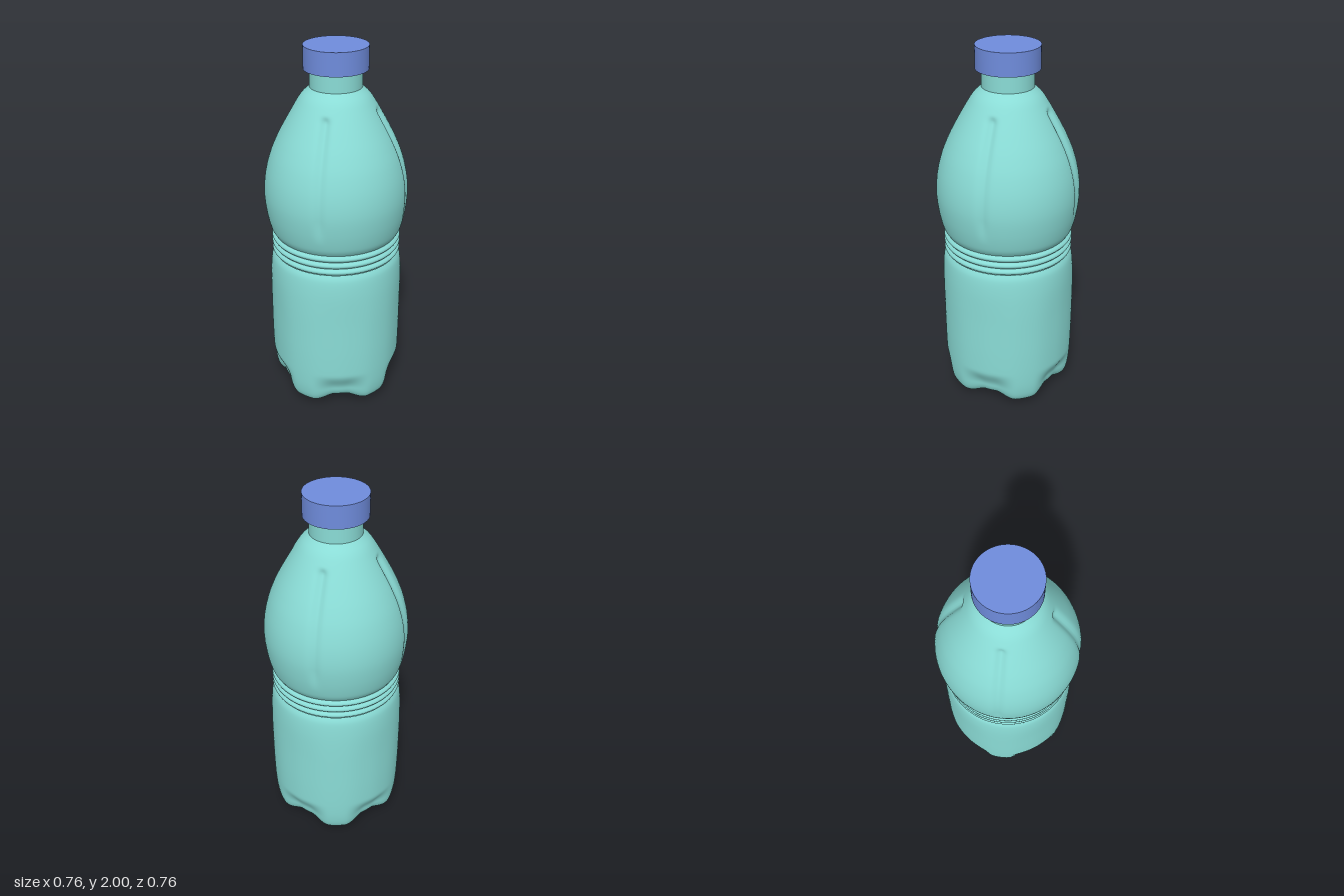
import * as THREE from 'three';
import { mergeVertices, toCreasedNormals } from 'three/addons/utils/BufferGeometryUtils.js';

const SEGMENTS = 160;
const plastic = new THREE.MeshStandardMaterial({ color: 0x8adcd6, side: THREE.DoubleSide });
const capBlue = new THREE.MeshStandardMaterial({ color: 0x6f8cdc, side: THREE.DoubleSide });

const vec = ([r, y]) => new THREE.Vector2(r, y);
const smooth = (points, n) => new THREE.SplineCurve(points.map(vec)).getPoints(n)
  .map((p) => new THREE.Vector2(Math.max(p.x, 0), p.y));
const step = THREE.MathUtils.smoothstep;

// Signed angle to the nearest of n evenly spaced directions, starting at +x
function nearestAngle(angle, n) {
  const pitch = (Math.PI * 2) / n;
  return angle - Math.round(angle / pitch) * pitch;
}

// Revolved wall whose vertices are reshaped by rule(angle, r, y) -> [r, y]
function wall(name, profile, rule) {
  let geo = new THREE.LatheGeometry(profile, SEGMENTS);
  const pos = geo.attributes.position;
  for (let i = 0; rule && i < pos.count; i++) {
    const x = pos.getX(i), z = pos.getZ(i);
    const angle = Math.atan2(z, x);
    const [r, y] = rule(angle, Math.hypot(x, z), pos.getY(i));
    pos.setXYZ(i, r * Math.cos(angle), y, r * Math.sin(angle));
  }
  geo.deleteAttribute('uv');
  geo.deleteAttribute('normal');
  geo = mergeVertices(geo, 1e-5);
  geo.computeVertexNormals();
  const mesh = new THREE.Mesh(geo, plastic);
  mesh.name = name;
  return mesh;
}

// Five scooped dents between the feet, fading into faint panels higher up
function footDents(angle, r, y) {
  const a = nearestAngle(angle, 5);
  const across = 1 - step(Math.abs(a), 0.1, 0.5);
  const scoop = (1 - step(y, 0.13, 0.245)) * step(r, 0.1, 0.3);
  const panel = 0.005 * step(y, 0.1, 0.25) * (1 - step(y, 0.55, 0.85));
  const under = step(r, 0.08, 0.24) * (1 - step(y, 0.03, 0.14));
  return [r - across * (0.042 * scoop + panel), y + 0.025 * across * under];
}

// Four narrow vertical grooves pressed into the shoulder
function shoulderGrooves(angle, r, y) {
  const across = Math.exp(-(((nearestAngle(angle, 4) * r) / 0.024) ** 2));
  const along = step(y, 1.06, 1.2) * (1 - step(y, 1.66, 1.7));
  return [r - across * along * (0.011 + 0.008 * step(y, 1.25, 1.65)), y];
}

export function createModel() {
  const bottle = new THREE.Group();
  bottle.name = 'bottle';

  // Base and lower body
  const lower = [
    [0, 0.003], [0.05, 0.004], [0.12, 0.01], [0.2, 0.018], [0.27, 0.025], [0.315, 0.038],
    [0.342, 0.07], [0.356, 0.13], [0.363, 0.22], [0.366, 0.35], [0.366, 0.5], [0.365, 0.65],
    [0.361, 0.76], [0.352, 0.84], [0.337, 0.877],
  ];
  bottle.add(wall('lowerBody', smooth(lower, 130), footDents));

  // Ribbed waist: three rounded rings
  const ribs = [];
  for (let i = 0; i <= 36; i++) {
    const t = i / 36;
    ribs.push(vec([0.335 + 0.014 * Math.abs(Math.sin(t * Math.PI * 3)), 0.877 + 0.113 * t]));
  }
  bottle.add(wall('waistRibs', ribs));

  // Domed shoulder
  const shoulder = [
    [0.335, 0.99], [0.355, 1.03], [0.374, 1.12], [0.382, 1.22], [0.373, 1.32], [0.348, 1.42],
    [0.312, 1.51], [0.266, 1.6], [0.209, 1.7], [0.175, 1.75], [0.135, 1.788],
  ];
  bottle.add(wall('shoulder', smooth(shoulder, 110), shoulderGrooves));

  // Neck
  bottle.add(wall('neck', [[0.135, 1.788], [0.135, 1.96]].map(vec)));

  // Screw cap, hollow underneath
  const capProfile = [
    [0, 1.985], [0.153, 1.985], [0.153, 1.88], [0.166, 1.88], [0.166, 2], [0, 2],
  ].map(vec);
  const capGeo = new THREE.LatheGeometry(capProfile, 96);
  const cap = new THREE.Mesh(toCreasedNormals(capGeo, 0.6), capBlue);
  cap.name = 'cap';
  bottle.add(cap);

  return bottle;
}
